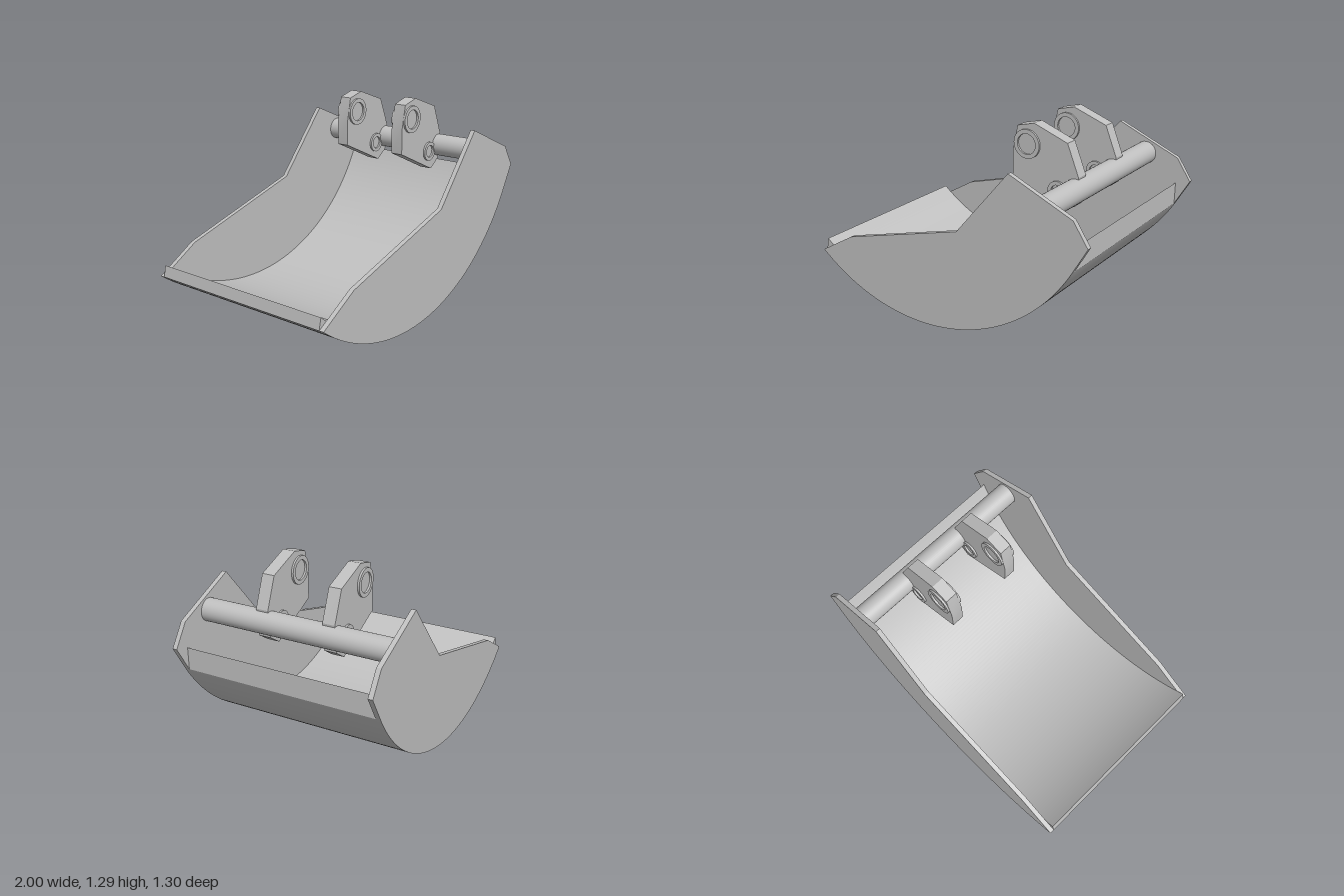
import * as THREE from 'three';
import { toCreasedNormals } from 'three/addons/utils/BufferGeometryUtils.js';

const steel = new THREE.MeshStandardMaterial({ color: 0xc0c0c0 });
steel.name = 'grey steel';

// Bucket curvature shared by the shell and the side plates
const CX = -0.2, CY = 1.28, OUTER = 1.28, INNER = 1.215;
const angleAt = (x, r) => -Math.acos((x - CX) / r);

function makeMesh(name, geometry) {
  const mesh = new THREE.Mesh(geometry, steel);
  mesh.name = name;
  return mesh;
}

// Extrude a profile along z, centred on z = 0
function slab(shape, depth, curveSegments) {
  const geometry = new THREE.ExtrudeGeometry(shape, { depth, curveSegments, bevelEnabled: false });
  geometry.translate(0, 0, -depth / 2);
  return toCreasedNormals(geometry, 0.35);
}

function hole(x, y, r) {
  const path = new THREE.Path();
  path.absarc(x, y, r, 0, Math.PI * 2, true);
  return path;
}

function ring(x, y, r, bore) {
  const shape = new THREE.Shape();
  shape.absarc(x, y, r, 0, Math.PI * 2, false);
  shape.holes.push(hole(x, y, bore));
  return slab(shape, 0.105, 32);
}

export function createModel() {
  const model = new THREE.Group();
  model.name = 'excavatorBucket';

  // Thick curved shell with vertically cut ends
  const shell = new THREE.Shape();
  shell.absarc(CX, CY, OUTER, angleAt(-1, OUTER), angleAt(0.905, OUTER), false);
  shell.absarc(CX, CY, INNER, angleAt(0.905, INNER), angleAt(-0.985, INNER), true);
  model.add(makeMesh('curvedShell', slab(shell, 1.24, 48)));

  // Side plates
  const side = new THREE.Shape();
  side.absarc(CX, CY, OUTER, angleAt(-1, OUTER), angleAt(0.905, OUTER), false);
  [[1, 0.8], [0.905, 0.94], [0.49, 1.115], [0.125, 0.685], [-0.74, 0.435]].forEach(([x, y]) => side.lineTo(x, y));
  const sideGeometry = slab(side, 0.03, 48);

  // Hanger lugs with two bored pin bosses each
  const pins = [
    { name: 'upperPinBoss', x: 0.355, y: 1.16, r: 0.088, bore: 0.062 },
    { name: 'lowerPinBoss', x: 0.568, y: 0.912, r: 0.063, bore: 0.04 },
  ];
  const lug = new THREE.Shape([
    [0.255, 0.945], [0.6, 0.787], [0.685, 0.845], [0.703, 1.02],
    [0.625, 1.21], [0.4, 1.29], [0.285, 1.26], [0.252, 1.1],
  ].map(([x, y]) => new THREE.Vector2(x, y)));
  pins.forEach((p) => lug.holes.push(hole(p.x, p.y, p.bore)));
  const lugGeometry = slab(lug, 0.08, 32);

  for (const s of [1, -1]) {
    const label = s > 0 ? 'front' : 'back';
    const plate = makeMesh(label + 'SidePlate', sideGeometry);
    plate.position.z = s * 0.635;
    model.add(plate);

    const hanger = new THREE.Group();
    hanger.name = label + 'Hanger';
    hanger.position.z = s * 0.22;
    hanger.add(makeMesh('lugPlate', lugGeometry));
    pins.forEach((p) => hanger.add(makeMesh(p.name, ring(p.x, p.y, p.r, p.bore))));
    model.add(hanger);
  }

  // Cross tube between the side plates
  const tube = makeMesh('crossTube', new THREE.CylinderGeometry(0.072, 0.072, 1.24, 40));
  tube.rotation.x = Math.PI / 2;
  tube.position.set(0.683, 0.938, 0);
  model.add(tube);

  return model;
}
